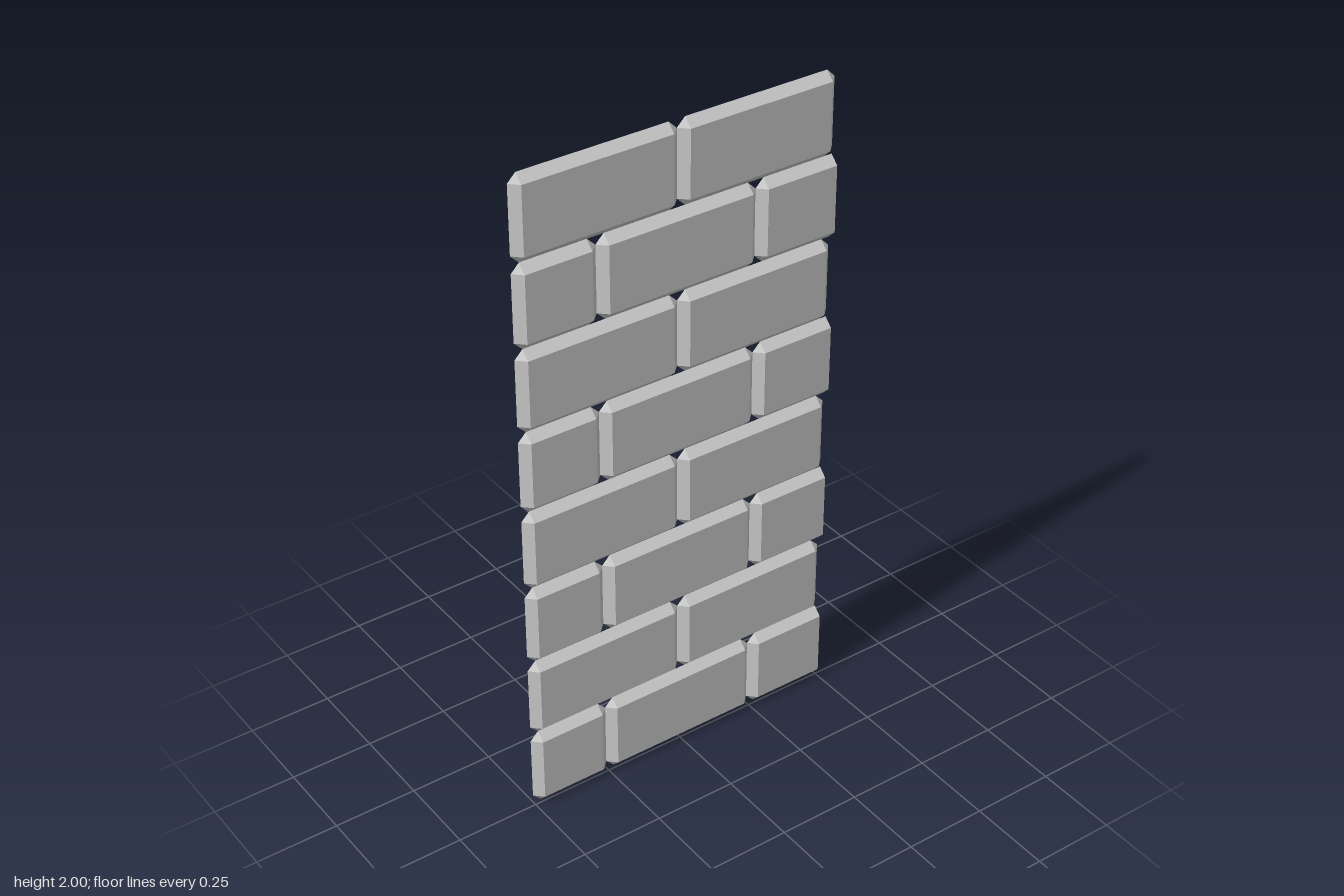
import * as THREE from 'three';
import { ConvexGeometry } from 'three/addons/geometries/ConvexGeometry.js';

const BEVEL = 0.025;
const HALF_DEPTH = 0.0125;
const ROW_HEIGHT = 0.25;
const ROWS = 8;

// Brick with a flat back, bevelled front edges and clipped back corners.
// A cut brick has a flat right end instead of a bevelled one.
function brickGeometry(width, cutRight) {
  const points = [];
  for (const sx of [-1, 1]) {
    const bevel = sx > 0 && cutRight ? 0 : BEVEL;
    const x = sx * width / 2;
    const innerX = x - sx * bevel;
    for (const sy of [-1, 1]) {
      const y = sy * ROW_HEIGHT / 2;
      const innerY = y - sy * BEVEL;
      points.push(new THREE.Vector3(innerX, innerY, HALF_DEPTH));
      points.push(new THREE.Vector3(innerX, y, -HALF_DEPTH));
      if (bevel > 0) points.push(new THREE.Vector3(x, innerY, -HALF_DEPTH));
    }
  }
  return new ConvexGeometry(points);
}

export function createModel() {
  const wall = new THREE.Group();
  wall.name = 'brickWall';
  const material = new THREE.MeshStandardMaterial({ color: 0xcccccc, flatShading: true });

  const fullBrick = brickGeometry(0.5, false);
  const halfBrick = brickGeometry(0.25, false);
  const cutBrick = brickGeometry(0.25, true);

  // Alternating courses: half / full / cut half, then two full bricks
  const courses = [
    [['leftHalfBrick', halfBrick, -0.375], ['fullBrick', fullBrick, 0], ['cutHalfBrick', cutBrick, 0.375]],
    [['fullBrick', fullBrick, -0.25], ['fullBrick', fullBrick, 0.25]],
  ];

  for (let row = 0; row < ROWS; row++) {
    const course = new THREE.Group();
    course.name = `course${row + 1}`;
    course.position.y = (row + 0.5) * ROW_HEIGHT;
    for (const [name, geometry, x] of courses[row % 2]) {
      const brick = new THREE.Mesh(geometry, material);
      brick.name = name;
      brick.position.x = x;
      course.add(brick);
    }
    wall.add(course);
  }
  return wall;
}
